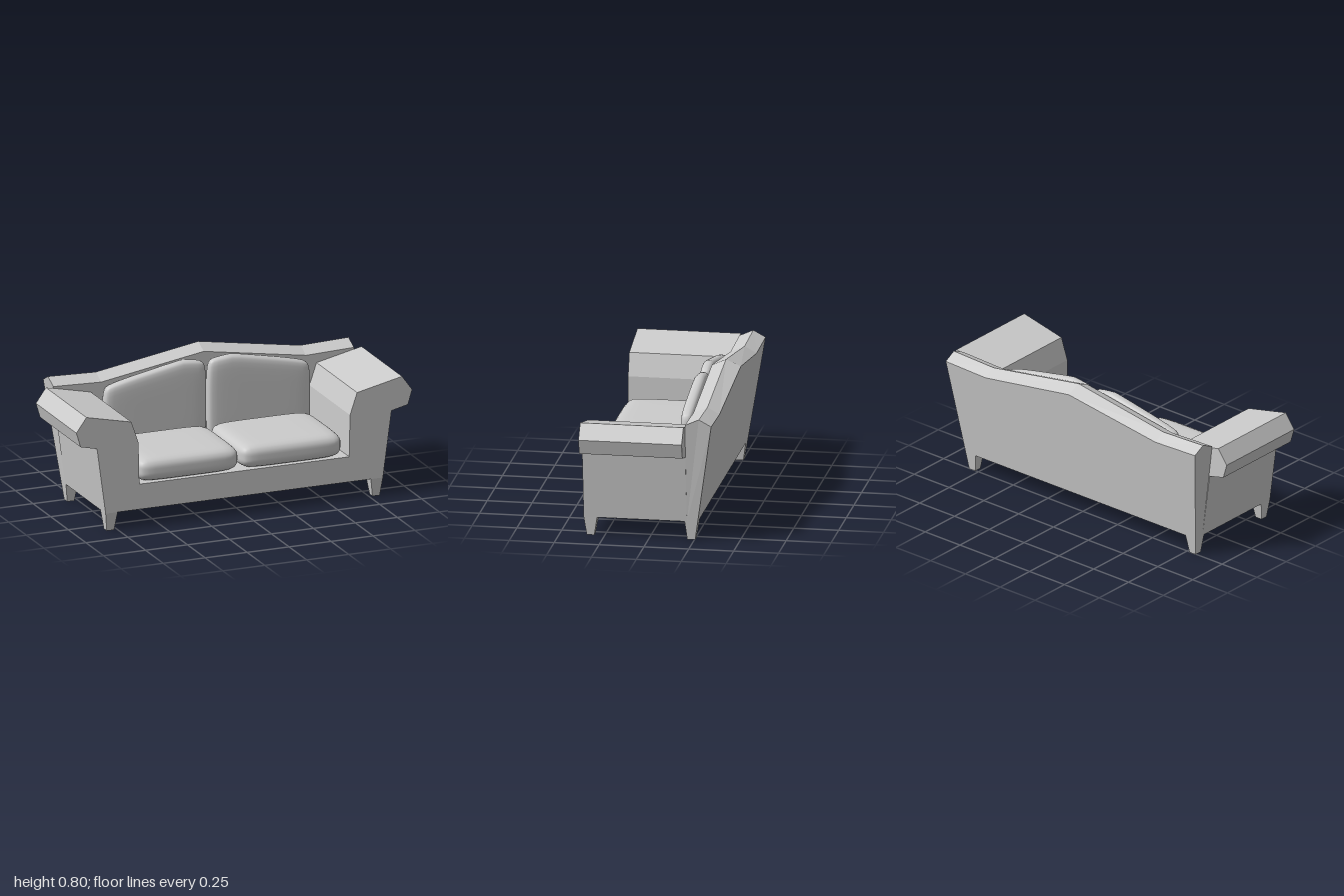
import * as THREE from 'three';
import { mergeVertices } from 'three/addons/utils/BufferGeometryUtils.js';

const grey = new THREE.MeshStandardMaterial({ color: 0xcccccc });
const BASE = 0.105, SEAT = 0.25, FRONT = 0.365, BACK = -0.21;

// Outer half width of the frame and rear plane of the backrest, both leaning outwards
const halfWidth = (y) => 0.813 + 0.122 * y;
const rearZ = (y) => -0.254 - 0.1525 * y;

function add(parent, name, geometry) {
  const mesh = new THREE.Mesh(geometry, grey);
  mesh.name = name;
  parent.add(mesh);
  return mesh;
}

// Seat base and both flared arms as one front profile
function frameGeometry() {
  const half = [
    [halfWidth(BASE), BASE], [0.877, 0.485], [0.975, 0.508], [1, 0.592],
    [0.94, 0.675], [0.672, 0.615], [0.63, 0.49], [0.625, SEAT],
  ];
  const mirrored = half.map(([x, y]) => [-x, y]).reverse();
  const shape = new THREE.Shape([...half, ...mirrored].map(([x, y]) => new THREE.Vector2(x, y)));
  return new THREE.ExtrudeGeometry(shape, { depth: FRONT - BACK, bevelEnabled: false }).translate(0, 0, BACK);
}

// Backrest: ridged cross-sections lofted along x, highest in the middle
function backrestGeometry() {
  const stations = [[-1, 0.71], [-0.61, 0.7], [0, 0.8], [0.61, 0.7], [1, 0.71]];
  const sections = stations.map(([s, h]) => {
    const rear = h - 0.037;
    const profile = [[BASE, BACK], [h - 0.035, BACK], [h, -0.288], [rear, rearZ(rear)], [BASE, rearZ(BASE)]];
    return profile.map(([y, z]) => [Math.abs(s) === 1 ? s * halfWidth(Math.min(y, 0.675)) : s, y, z]);
  });
  const positions = [];
  const tri = (...corners) => corners.forEach((c) => positions.push(...c));
  for (let i = 0; i < sections.length - 1; i++) {
    const p = sections[i], q = sections[i + 1];
    for (let j = 0; j < p.length; j++) {
      const k = (j + 1) % p.length;
      tri(p[j], q[j], q[k]);
      tri(p[j], q[k], p[k]);
    }
  }
  const left = sections[sections.length - 1], right = sections[0];
  for (let j = 1; j < 4; j++) {
    tri(right[0], right[j], right[j + 1]);
    tri(left[0], left[j + 1], left[j]);
  }
  const geometry = new THREE.BufferGeometry();
  geometry.setAttribute('position', new THREE.Float32BufferAttribute(positions, 3));
  geometry.computeVertexNormals();
  return geometry;
}

// Tapered square leg; each range is [min, max]
function legGeometry(topX, topZ, footX, footZ) {
  const geometry = new THREE.BoxGeometry(1, 1, 1);
  const p = geometry.attributes.position;
  for (let i = 0; i < p.count; i++) {
    const top = p.getY(i) > 0;
    const xs = top ? topX : footX, zs = top ? topZ : footZ;
    p.setXYZ(i, xs[p.getX(i) > 0 ? 1 : 0], top ? BASE : 0, zs[p.getZ(i) > 0 ? 1 : 0]);
  }
  const flat = geometry.toNonIndexed();
  flat.computeVertexNormals();
  return flat;
}

// Rounded pillow, thinner towards its rim; thin is the axis of its thickness
function cushionGeometry(size, thin, radius) {
  const half = size.map((s) => s / 2);
  const wide = [0, 1, 2].filter((a) => a !== thin);
  let geometry = new THREE.BoxGeometry(2, 2, 2, 16, 16, 16);
  const p = geometry.attributes.position;
  for (let i = 0; i < p.count; i++) {
    const cube = [p.getX(i), p.getY(i), p.getZ(i)].map((c) => Math.sin((c * Math.PI) / 2));
    const v = cube.map((c, a) => c * half[a]);
    const inner = v.map((c, a) => THREE.MathUtils.clamp(c, radius - half[a], half[a] - radius));
    const dir = new THREE.Vector3(...v.map((c, a) => c - inner[a])).normalize().multiplyScalar(radius);
    const out = inner.map((c, a) => c + dir.getComponent(a));
    const [a, b] = wide;
    const u = out[a] / half[a], w = out[b] / half[b];
    out[thin] *= 1 - 0.16 * (u ** 6 + w ** 6);
    out[a] *= 1 - 0.045 * w ** 4;
    out[b] *= 1 - 0.045 * u ** 4;
    p.setXYZ(i, ...out);
  }
  geometry.deleteAttribute('normal');
  geometry.deleteAttribute('uv');
  geometry = mergeVertices(geometry, 1e-5);
  geometry.computeVertexNormals();
  return geometry;
}

// Back cushion whose top follows the slope of the backrest
function backCushionGeometry(centreX) {
  const low = 0.25, high = 0.747;
  const geometry = cushionGeometry([0.612, high - low, 0.076], 2, 0.033);
  geometry.translate(centreX, (low + high) / 2, -0.168);
  const p = geometry.attributes.position;
  for (let i = 0; i < p.count; i++) {
    const x = Math.abs(p.getX(i));
    const drop = x > 0.15 ? 0.2 * (x - 0.15) : 0.06 * (0.15 - x);
    p.setY(i, p.getY(i) - (drop * (p.getY(i) - low)) / (high - low));
  }
  geometry.computeVertexNormals();
  return geometry;
}

export function createModel() {
  const sofa = new THREE.Group();
  sofa.name = 'sofa';
  add(sofa, 'seatAndArms', frameGeometry());
  add(sofa, 'backrest', backrestGeometry());

  // Legs, mirrored left and right
  const mirror = (range, side) => (side > 0 ? range : [-range[1], -range[0]]);
  for (const [side, label] of [[1, 'Left'], [-1, 'Right']]) {
    const topX = mirror([0.754, halfWidth(BASE)], side), footX = mirror([0.77, 0.813], side);
    add(sofa, 'frontLeg' + label, legGeometry(topX, [0.29, FRONT], footX, [0.308, 0.35]));
    add(sofa, 'backLeg' + label, legGeometry(topX, [rearZ(BASE), -0.197], footX, [rearZ(0), -0.21]));
  }

  // Loose cushions
  for (const [label, seatX, backX] of [['Right', -0.322, -0.313], ['Left', 0.292, 0.306]]) {
    const seat = add(sofa, 'seatCushion' + label, cushionGeometry([0.612, 0.14, 0.51], 1, 0.05));
    seat.position.set(seatX, 0.316, 0.118);
    add(sofa, 'backCushion' + label, backCushionGeometry(backX));
  }
  return sofa;
}
